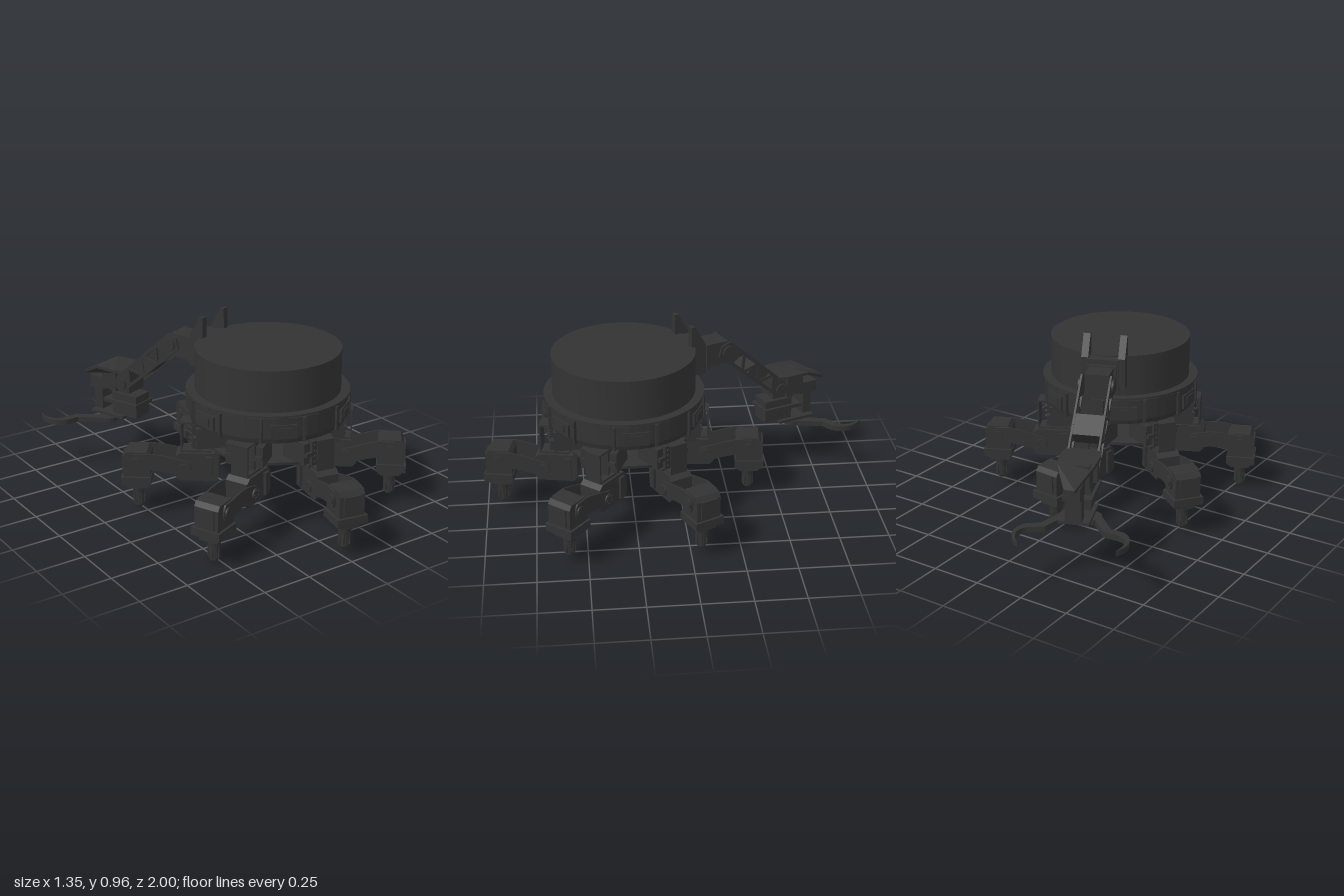
import * as THREE from 'three';

const mat = new THREE.MeshStandardMaterial({ color: 0x333333, side: THREE.DoubleSide });
const flat = new THREE.MeshStandardMaterial({ color: 0x333333, flatShading: true, side: THREE.DoubleSide });

function add(parent, name, geo, x = 0, y = 0, z = 0, m = mat) {
  const mesh = new THREE.Mesh(geo, m);
  mesh.name = name;
  mesh.position.set(x, y, z);
  parent.add(mesh);
  return mesh;
}
// box given by centre x, width, and its y and z ranges
function box(parent, name, x, w, y0, y1, z0, z1) {
  return add(parent, name, new THREE.BoxGeometry(w, y1 - y0, z1 - z0), x, (y0 + y1) / 2, (z0 + z1) / 2, flat);
}
const shapeOf = pts => new THREE.Shape(pts.map(p => new THREE.Vector2(p[0], p[1])));
// upright plate: outline in (z, y), thickness along x
function plate(parent, name, shape, x, t) {
  const g = new THREE.ExtrudeGeometry(shape, { depth: t, bevelEnabled: false, curveSegments: 10 });
  g.translate(0, 0, -t / 2).rotateY(-Math.PI / 2);
  return add(parent, name, g, x);
}
// disc with its axis along x
function disc(parent, name, r, w, x, y, z, n = 20) {
  return add(parent, name, new THREE.CylinderGeometry(r, r, w, n).rotateZ(Math.PI / 2), x, y, z);
}

const CX = 0.028, CZ = 0.285;

function buildBody() {
  const body = new THREE.Group();
  body.name = 'body';
  body.position.set(CX, 0, CZ);
  const cyl = (name, r, y0, y1, n = 72) =>
    add(body, name, new THREE.CylinderGeometry(r, r, y1 - y0, n), 0, (y0 + y1) / 2);
  cyl('drum', 0.358, 0.648, 0.855);
  cyl('flange', 0.402, 0.639, 0.648);
  cyl('legDeck', 0.31, 0.495, 0.507, 12);
  cyl('bottomPlate', 0.32, 0.343, 0.357, 6);
  // hollow skirt wall
  const wall = [[0.372, 0.505], [0.385, 0.505], [0.392, 0.53], [0.392, 0.632], [0.378, 0.632], [0.372, 0.505]];
  add(body, 'skirt', new THREE.LatheGeometry(wall.map(p => new THREE.Vector2(p[0], p[1])), 48), 0, 0, 0, flat);

  // side panels, tabs and internal struts
  for (let i = 0; i < 12; i++) {
    const g = new THREE.Group();
    g.name = 'skirtSegment';
    g.rotation.y = (i / 12) * Math.PI * 2 + 0.087;
    body.add(g);
    box(g, 'tab', 0, 0.05, 0.625, 0.642, 0.36, 0.394);
    box(g, 'rib', 0.1, 0.012, 0.51, 0.632, 0.37, 0.392);
    if (i % 2) {
      box(g, 'panel', 0, 0.13, 0.53, 0.6, 0.38, 0.397);
      box(g, 'panelInset', 0, 0.07, 0.545, 0.585, 0.385, 0.402);
    } else {
      box(g, 'standoff', 0, 0.02, 0.35, 0.5, 0.15, 0.17);
      box(g, 'deckArm', 0, 0.07, 0.495, 0.507, 0.25, 0.38);
      box(g, 'baseArm', 0, 0.1, 0.343, 0.357, 0.2, 0.36);
    }
  }
  return body;
}

// leg runs along +z from its hip; drop lowers the foot
function buildLeg([hx, hz, fx, fz, drop]) {
  const group = new THREE.Group();
  group.name = 'legAssembly';

  // fixed hip housing, pointing out from the body
  const hip = new THREE.Group();
  hip.name = 'hip';
  hip.position.set(CX, 0, CZ);
  hip.rotation.y = Math.atan2(hx - CX, hz - CZ);
  group.add(hip);
  box(hip, 'hipServo', 0, 0.11, 0.365, 0.49, 0.2, 0.385);
  for (const s of [-1, 1]) {
    box(hip, 'hipCheek', s * 0.075, 0.035, 0.375, 0.48, 0.22, 0.37);
    box(hip, 'hipFlange', s * 0.06, 0.06, 0.415, 0.435, 0.22, 0.385);
    for (let k = 0; k < 4; k++)
      add(hip, 'bolt', new THREE.CylinderGeometry(0.006, 0.006, 0.01, 8).rotateX(Math.PI / 2), s * 0.04, 0.385 + k * 0.028, 0.387);
  }

  const leg = new THREE.Group();
  leg.name = 'leg';
  leg.position.set(hx, 0, hz);
  leg.rotation.y = Math.atan2(fx - hx, fz - hz);
  group.add(leg);
  const L = Math.hypot(fx - hx, fz - hz);

  // yoke around the hip servo
  box(leg, 'yokeTop', 0, 0.09, 0.494, 0.502, -0.13, 0.02);
  box(leg, 'yokeBar', 0, 0.09, 0.345, 0.502, 0.012, 0.02);
  box(leg, 'yokeBottom', 0, 0.09, 0.343, 0.355, -0.13, 0.02);

  // thigh servo with chamfered outline
  plate(leg, 'thighServo', shapeOf([[-0.15, 0.2], [0.025, 0.2], [0.045, 0.22], [0.045, 0.325],
    [0.02, 0.345], [-0.15, 0.345], [-0.17, 0.325], [-0.17, 0.22]]), 0, 0.118);
  box(leg, 'thighFlange', 0, 0.145, 0.215, 0.33, -0.14, -0.105);

  // curved link plates with bearing discs
  const ky = 0.267, fy = 0.31 - drop;
  const link = new THREE.Shape();
  link.moveTo(-0.035, ky);
  link.quadraticCurveTo(-0.035, ky - 0.042, 0.01, ky - 0.042);
  link.quadraticCurveTo(0.09, ky - 0.01, L - 0.06, fy - 0.045);
  link.lineTo(L + 0.02, fy - 0.045);
  link.quadraticCurveTo(L + 0.045, fy, L + 0.015, fy + 0.038);
  link.lineTo(L - 0.06, fy + 0.042);
  link.quadraticCurveTo(0.09, ky + 0.07, 0, ky + 0.042);
  link.quadraticCurveTo(-0.035, ky + 0.04, -0.035, ky);
  for (const s of [-1, 1]) {
    plate(leg, 'linkPlate', link, s * 0.072, 0.009);
    disc(leg, 'kneeDisc', 0.03, 0.012, s * 0.078, ky, 0);
    disc(leg, 'ankleDisc', 0.026, 0.012, s * 0.078, fy - 0.005, L);
    for (let k = 0; k < 5; k++) {
      const a = (k / 5) * Math.PI * 2;
      disc(leg, 'bolt', 0.006, 0.016, s * 0.08, ky + 0.02 * Math.sin(a), 0.02 * Math.cos(a), 6);
    }
  }

  // shin servo and tapered foot
  const shin = new THREE.Group();
  shin.name = 'shin';
  shin.position.set(0, -drop, L);
  leg.add(shin);
  plate(shin, 'shinServo', shapeOf([[-0.06, 0.17], [0.055, 0.17], [0.066, 0.2], [0.066, 0.33],
    [0.05, 0.354], [-0.05, 0.354], [-0.066, 0.335], [-0.066, 0.2]]), 0, 0.13);
  box(shin, 'shinCollar', 0, 0.156, 0.185, 0.225, -0.07, 0.078);
  box(shin, 'shinPanel', 0, 0.09, 0.235, 0.33, 0.06, 0.074);
  box(shin, 'footMount', 0, 0.1, 0.155, 0.19, -0.05, 0.05);
  const foot = [[0, 0.037], [0.014, 0.037], [0.021, 0.046], [0.023, 0.07], [0.035, 0.155], [0.037, 0.175], [0, 0.175]];
  add(shin, 'foot', new THREE.LatheGeometry(foot.map(p => new THREE.Vector2(p[0], p[1])), 12), 0, 0, 0, flat);
  for (let k = 0; k < 4; k++) {
    const rib = box(shin, 'footRib', 0, 0.012, 0.06, 0.17, -0.035, 0.035);
    rib.rotation.y = (k * Math.PI) / 4;
    rib.scale.z = 0.85;
  }
  return group;
}

// arm runs along +z, away from the body
function buildArm() {
  const arm = new THREE.Group();
  arm.name = 'arm';
  arm.position.set(-0.085, 0, -0.035);
  arm.rotation.y = Math.atan2(-0.364, -0.932);

  box(arm, 'shoulderMount', 0, 0.16, 0.69, 0.85, -0.01, 0.07);
  box(arm, 'shoulderServo', 0, 0.12, 0.705, 0.825, 0.05, 0.215);
  box(arm, 'shoulderFlange', 0, 0.145, 0.7, 0.83, 0.085, 0.105);

  // truss link: side plates with triangular windows
  const P = new THREE.Vector2(0.21, 0.77), Q = new THREE.Vector2(0.53, 0.49);
  const d = Q.clone().sub(P), len = d.length();
  d.normalize();
  const at = (t, n) => [P.x + d.x * t - d.y * n, P.y + d.y * t + d.x * n];
  for (const s of [-1, 1]) {
    plate(arm, 'prong', shapeOf([[-0.02, 0.7], [0.06, 0.7], [0.06, 0.855], [0, 0.96], [-0.02, 0.96]]), s * 0.092, 0.035);
    const side = shapeOf([at(-0.03, 0.05), at(-0.055, 0), at(-0.03, -0.05), at(len, -0.045),
      at(len + 0.04, 0), at(len, 0.045)]);
    for (let i = 0; i < 5; i++) {
      const t = 0.045 + i * 0.06, n = i % 2 ? 0.03 : -0.03;
      side.holes.push(new THREE.Path([at(t, n), at(t + 0.082, n), at(t + 0.041, -n)].map(p => new THREE.Vector2(...p))));
    }
    plate(arm, 'trussPlate', side, s * 0.072, 0.01);
    disc(arm, 'shoulderDisc', 0.036, 0.014, s * 0.08, P.y, P.x);
    disc(arm, 'wristDisc', 0.034, 0.014, s * 0.08, Q.y, Q.x);
  }
  plate(arm, 'trussBrace', shapeOf([at(0.18, -0.04), at(0.29, -0.04), at(0.29, 0.045), at(0.18, 0.045)]), 0, 0.145);

  // wrist servo with pointed hood
  box(arm, 'wristServo', 0, 0.125, 0.435, 0.55, 0.49, 0.67);
  box(arm, 'wristFlange', 0, 0.17, 0.44, 0.545, 0.56, 0.6);
  const hood = new THREE.ExtrudeGeometry(shapeOf([[-0.08, 0.5], [0.08, 0.5], [0.095, 0.56], [0.09, 0.68],
    [0.025, 0.815], [-0.025, 0.815], [-0.09, 0.68], [-0.095, 0.56]]), { depth: 0.016, bevelEnabled: false });
  hood.rotateX(Math.PI / 2);
  const hp = hood.attributes.position;
  for (let i = 0; i < hp.count; i++) if (hp.getZ(i) > 0.7) hp.setY(i, hp.getY(i) - 0.07);
  add(arm, 'hood', hood, 0, 0.564, 0, flat);
  box(arm, 'noseBlock', 0, 0.08, 0.415, 0.48, 0.67, 0.77);

  // gripper drive
  box(arm, 'gripperServo', 0, 0.11, 0.3, 0.42, 0.45, 0.61);
  box(arm, 'gripperFlange', 0, 0.14, 0.36, 0.38, 0.44, 0.66);
  box(arm, 'gripperPost', 0, 0.08, 0.285, 0.44, 0.69, 0.74);
  box(arm, 'gripperBase', 0, 0.15, 0.285, 0.3, 0.53, 0.74);

  // mirrored claws: inner edge out, outer edge back
  for (const s of [-1, 1]) {
    const claw = new THREE.Shape();
    claw.moveTo(s * 0.05, 0.63);
    claw.lineTo(s * 0.1, 0.63);
    claw.lineTo(s * 0.165, 0.748);
    claw.lineTo(s * 0.225, 0.768);
    claw.bezierCurveTo(s * 0.275, 0.795, s * 0.295, 0.895, s * 0.225, 0.95);
    claw.bezierCurveTo(s * 0.262, 0.89, s * 0.262, 0.83, s * 0.215, 0.808);
    claw.lineTo(s * 0.135, 0.78);
    const g = new THREE.ExtrudeGeometry(claw, { depth: 0.028, bevelEnabled: false, curveSegments: 14 });
    add(arm, 'claw', g.rotateX(Math.PI / 2), 0.013, 0.285, 0);
    add(arm, 'gear', new THREE.CylinderGeometry(0.05, 0.05, 0.025, 16), s * 0.05 + 0.013, 0.272, 0.63, flat);
  }
  return arm;
}

export function createModel() {
  const model = new THREE.Group();
  model.name = 'hexapodRobot';
  model.add(buildBody());
  // hip x, hip z, foot x, foot z, foot drop
  const legs = [
    [0.065, 0.69, 0.02, 0.915, 0], [0.41, 0.45, 0.575, 0.59, 0], [0.36, 0.05, 0.565, -0.05, 0],
    [-0.02, -0.13, 0.003, -0.355, 0], [-0.35, 0.12, -0.535, -0.025, 0.01], [-0.3, 0.53, -0.52, 0.625, 0.035],
  ];
  for (const l of legs) model.add(buildLeg(l));
  model.add(buildArm());
  return model;
}
